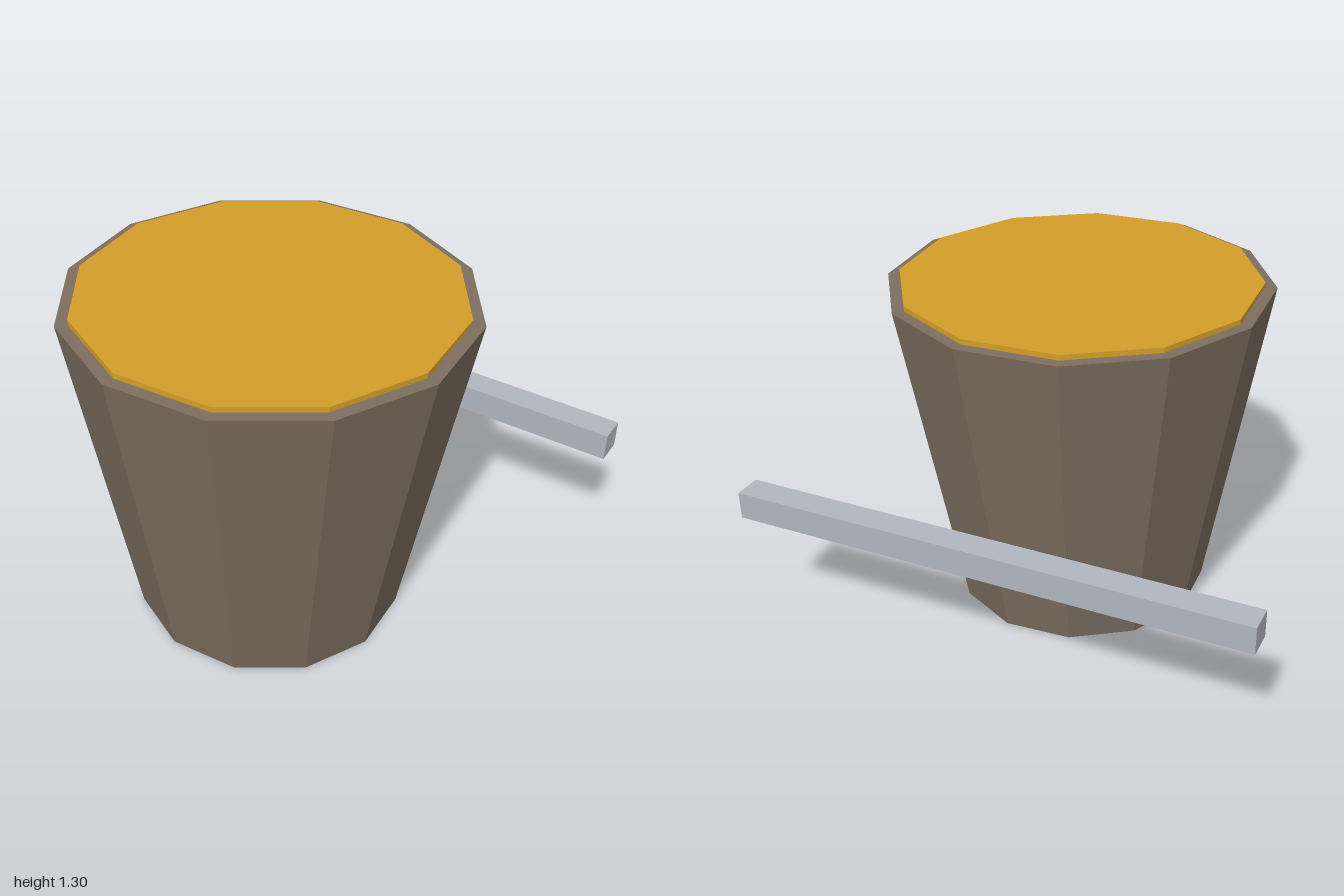
import * as THREE from 'three';

const SIDES = 12;

function addPart(group, name, geometry, color, x, y, z) {
  const material = new THREE.MeshStandardMaterial({ color, flatShading: true });
  const mesh = new THREE.Mesh(geometry, material);
  mesh.name = name;
  mesh.position.set(x, y, z);
  group.add(mesh);
  return mesh;
}

export function createModel() {
  const model = new THREE.Group();
  model.name = 'bucketAndBar';
  const cx = -0.175, cz = 0.182;

  // Tapered bucket, closed at both ends
  const height = 1.285;
  addPart(model, 'bucket', new THREE.CylinderGeometry(0.732, 0.503, height, SIDES),
    0x7d6e60, cx, height / 2, cz);

  // Thin disc of contents standing just above the rim
  addPart(model, 'contents', new THREE.CylinderGeometry(0.687, 0.687, 0.04, SIDES),
    0xd49e28, cx, 1.285, cz);

  // Loose square bar beside the bucket, slightly turned
  const bar = addPart(model, 'bar', new THREE.BoxGeometry(0.107, 0.107, 2.019),
    0xb0b7c0, 0.65, 0.554, 0);
  bar.rotation.y = 0.2;

  return model;
}
